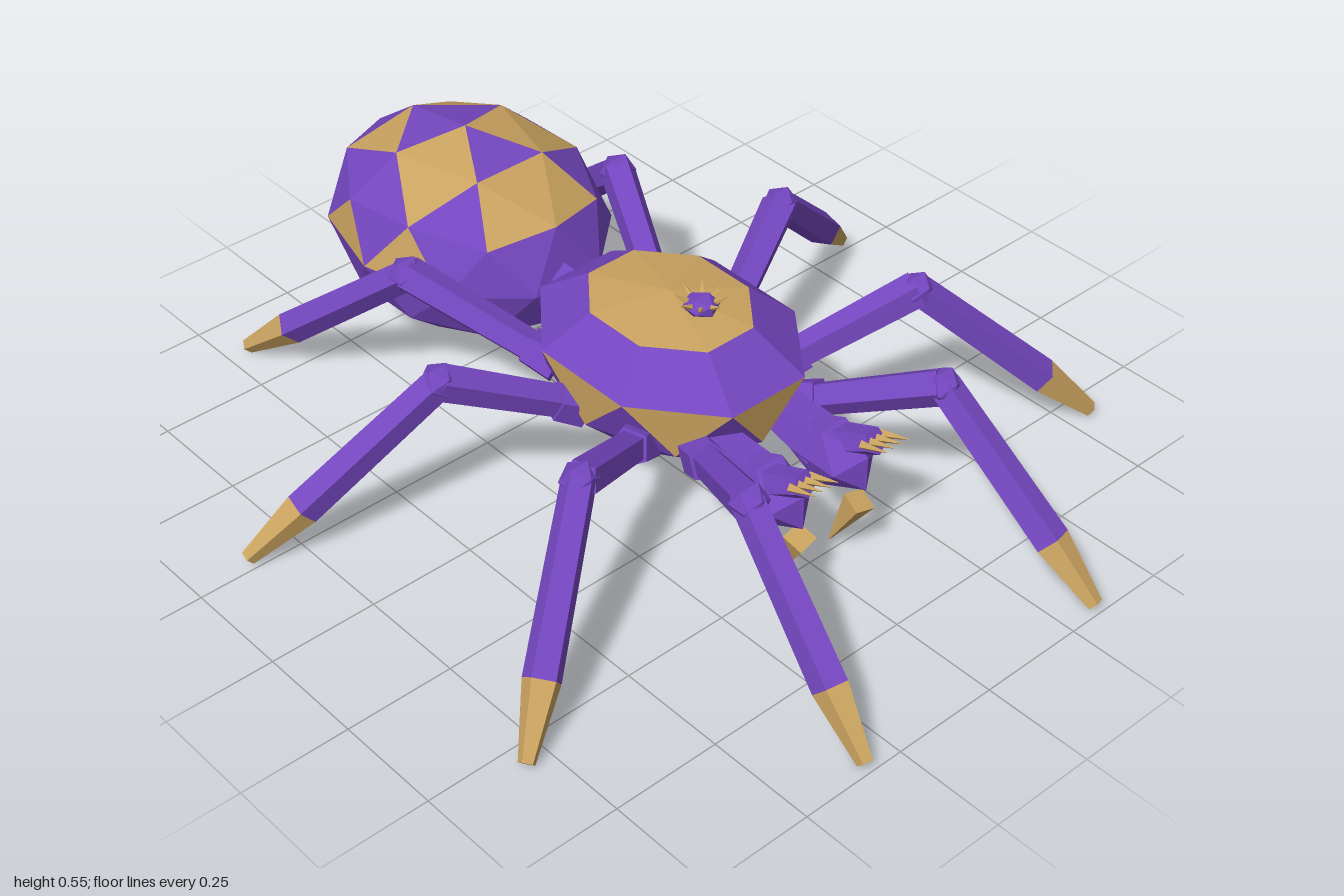
import * as THREE from 'three';

const mats = {
  purple: new THREE.MeshStandardMaterial({ color: 0x7446bf, flatShading: true, name: 'purple shell' }),
  tan: new THREE.MeshStandardMaterial({ color: 0xc9a25f, flatShading: true, name: 'tan markings' }),
};
const V = (x, y, z) => new THREE.Vector3(x, y, z);

// Tapered limb between two points
function limb(name, a, b, ra, rb, mat, sides = 5) {
  const dir = b.clone().sub(a);
  const mesh = new THREE.Mesh(new THREE.CylinderGeometry(rb, ra, dir.length(), sides), mat);
  mesh.quaternion.setFromUnitVectors(V(0, 1, 0), dir.normalize());
  mesh.position.copy(a).add(b).multiplyScalar(0.5);
  mesh.name = name;
  return mesh;
}

function blob(name, r, scale, pos, mat, detail = 0) {
  const mesh = new THREE.Mesh(new THREE.IcosahedronGeometry(r, detail), mat);
  mesh.scale.set(...scale);
  mesh.position.copy(pos);
  mesh.name = name;
  return mesh;
}

// Convex shell collecting purple and tan faces, turned outward around its centre
class Shell {
  constructor() { this.faces = { purple: [], tan: [] }; }
  tri(isTan, a, b, c) {
    const n = b.clone().sub(a).cross(c.clone().sub(a));
    const out = n.dot(a.clone().add(b).add(c)) > 0 ? [a, b, c] : [a, c, b];
    for (const p of out) this.faces[isTan ? 'tan' : 'purple'].push(p.x, p.y, p.z);
  }
  build(name, pos) {
    const g = new THREE.Group();
    g.name = name;
    for (const key of ['purple', 'tan']) {
      const geo = new THREE.BufferGeometry();
      geo.setAttribute('position', new THREE.Float32BufferAttribute(this.faces[key], 3));
      geo.computeVertexNormals();
      const m = new THREE.Mesh(geo, mats[key]);
      m.name = name + (key === 'tan' ? 'Markings' : 'Body');
      g.add(m);
    }
    g.position.copy(pos);
    return g;
  }
}

// Faceted abdomen with patterned upper half
function abdomen() {
  const s = new Shell();
  const pt = (deg, r, y) => {
    const t = THREE.MathUtils.degToRad(deg);
    return V(0.295 * r * Math.sin(t), 0.24 * y, -0.36 * r * Math.cos(t));
  };
  const P = V(0, 0.24, 0);
  const A = d => pt(d, 0.526, 0.851), B = d => pt(d, 0.894, 0.447);
  const C = d => pt(d, 0.851, 0.526), E = d => pt(d, 1, 0);
  for (let k = 0; k < 5; k++) {
    const d0 = k * 72, m = d0 + 36, d1 = d0 + 72;
    const back = k === 0 || k === 4, side = k === 1 || k === 3, front = k === 2;
    const faces = [
      [side, P, A(d0), A(d1)],
      [front, A(d0), B(d0), C(m)],
      [front, A(d1), C(m), B(d1)],
      [true, A(d0), C(m), A(d1)],
      [false, B(d0), E(d0 + 18), C(m)],
      [side || back, C(m), E(m - 18), E(m + 18)],
      [false, B(d1), C(m), E(m + 18)],
      [k === 1 || k === 4, B(d0), E(d0 - 18), E(d0 + 18)],
    ];
    for (const [isTan, ...p] of faces) {
      s.tri(isTan, ...p);
      s.tri(false, ...p.map(q => q.clone().negate()));
    }
  }
  return s.build('abdomen', V(0, 0.315, -0.605));
}

// Eight-sided front body with a tan cap and tan side triangles
function thorax() {
  const s = new Shell();
  const ring = (rx, rz, y, off) => i => {
    const t = (i + off) * Math.PI / 4;
    return V(rx * Math.sin(t), y, rz * Math.cos(t));
  };
  const cap = ring(0.165, 0.2, 0.145, 0.5), rim = ring(0.263, 0.325, 0.065, 0.5);
  const low = ring(0.235, 0.285, -0.06, 0), under = ring(0.15, 0.19, -0.14, 0.5);
  const top = V(0, 0.17, 0), bottom = V(0, -0.17, 0);
  for (let i = 0; i < 8; i++) {
    s.tri(true, top, cap(i), cap(i + 1));
    s.tri(false, cap(i), rim(i), rim(i + 1));
    s.tri(false, cap(i), rim(i + 1), cap(i + 1));
    s.tri(true, rim(i), rim(i + 1), low(i + 1));
    s.tri(false, low(i), low(i + 1), rim(i));
    s.tri(false, low(i), low(i + 1), under(i));
    s.tri(false, under(i), under(i + 1), low(i + 1));
    s.tri(false, bottom, under(i), under(i + 1));
  }
  return s.build('thorax', V(0, 0.3, 0.065));
}

// Small knob with a crown of spines
function spineKnob() {
  const g = new THREE.Group();
  g.name = 'spineKnob';
  g.add(blob('knob', 0.04, [1, 0.6, 1], V(0, 0.01, 0), mats.purple));
  for (let i = 0; i < 8; i++) {
    const t = i * Math.PI / 4, x = Math.sin(t), z = Math.cos(t);
    g.add(limb('spine', V(x * 0.025, 0.015, z * 0.025), V(x * 0.055, 0.033, z * 0.055), 0.008, 0.001, mats.tan, 4));
  }
  return g;
}

// Hip, knee and foot of each leg on the +x side
const legs = [
  [[0.13, 0.25, 0.3], [0.27, 0.385, 0.59], [0.33, 0.022, 0.985]],
  [[0.19, 0.25, 0.19], [0.47, 0.385, 0.325], [0.81, 0.022, 0.56]],
  [[0.2, 0.25, 0.02], [0.48, 0.385, -0.1], [0.865, 0.022, -0.275]],
  [[0.15, 0.25, -0.12], [0.3, 0.385, -0.44], [0.445, 0.022, -0.875]],
];

export function createModel() {
  const model = new THREE.Group();
  model.name = 'spider';
  model.add(abdomen(), thorax());
  model.add(limb('waist', V(0, 0.3, -0.18), V(0, 0.3, -0.32), 0.06, 0.06, mats.purple, 6));
  model.add(limb('spinneret', V(0, 0.26, -0.9), V(0, 0.248, -1), 0.03, 0.018, mats.tan, 6));

  const crown = spineKnob();
  crown.position.set(0, 0.475, 0.16);
  model.add(crown);

  for (const s of [1, -1]) {
    const at = ([x, y, z]) => V(s * x, y, z);
    legs.forEach((points, i) => {
      const [hip, knee, foot] = points.map(at);
      const leg = new THREE.Group();
      leg.name = (s > 0 ? 'left' : 'right') + 'Leg' + (i + 1);
      const ankle = knee.clone().lerp(foot, 0.71);
      leg.add(
        limb('hip', hip, hip.clone().lerp(knee, 0.2), 0.05, 0.045, mats.purple),
        limb('thigh', hip, knee, 0.036, 0.042, mats.purple),
        blob('knee', 0.042, [1, 1, 1], knee, mats.purple),
        limb('shin', knee, ankle, 0.037, 0.041, mats.purple),
        limb('claw', ankle, foot, 0.041, 0.018, mats.tan),
      );
      model.add(leg);
    });

    // Jaws with fangs and forward spines
    const jaw = new THREE.Group();
    jaw.name = s > 0 ? 'leftJaw' : 'rightJaw';
    jaw.add(blob('jaw', 0.08, [0.85, 1, 1.5], at([0.09, 0.235, 0.46]), mats.purple));
    jaw.add(limb('jawBase', at([0.09, 0.26, 0.3]), at([0.09, 0.24, 0.45]), 0.05, 0.06, mats.purple));
    jaw.add(limb('fang', at([0.085, 0.16, 0.55]), at([0.065, 0.03, 0.49]), 0.035, 0.002, mats.tan, 4));
    jaw.add(limb('feeler', at([0.1, 0.25, 0.44]), at([0.1, 0.32, 0.57]), 0.04, 0.03, mats.purple));
    for (let i = -1.5; i <= 1.5; i++) {
      const x = 0.1 + i * 0.018;
      jaw.add(limb('jawSpine', at([x, 0.32, 0.56]), at([x + i * 0.003, 0.345, 0.63]), 0.011, 0.001, mats.tan, 4));
    }
    model.add(jaw);
  }
  return model;
}
